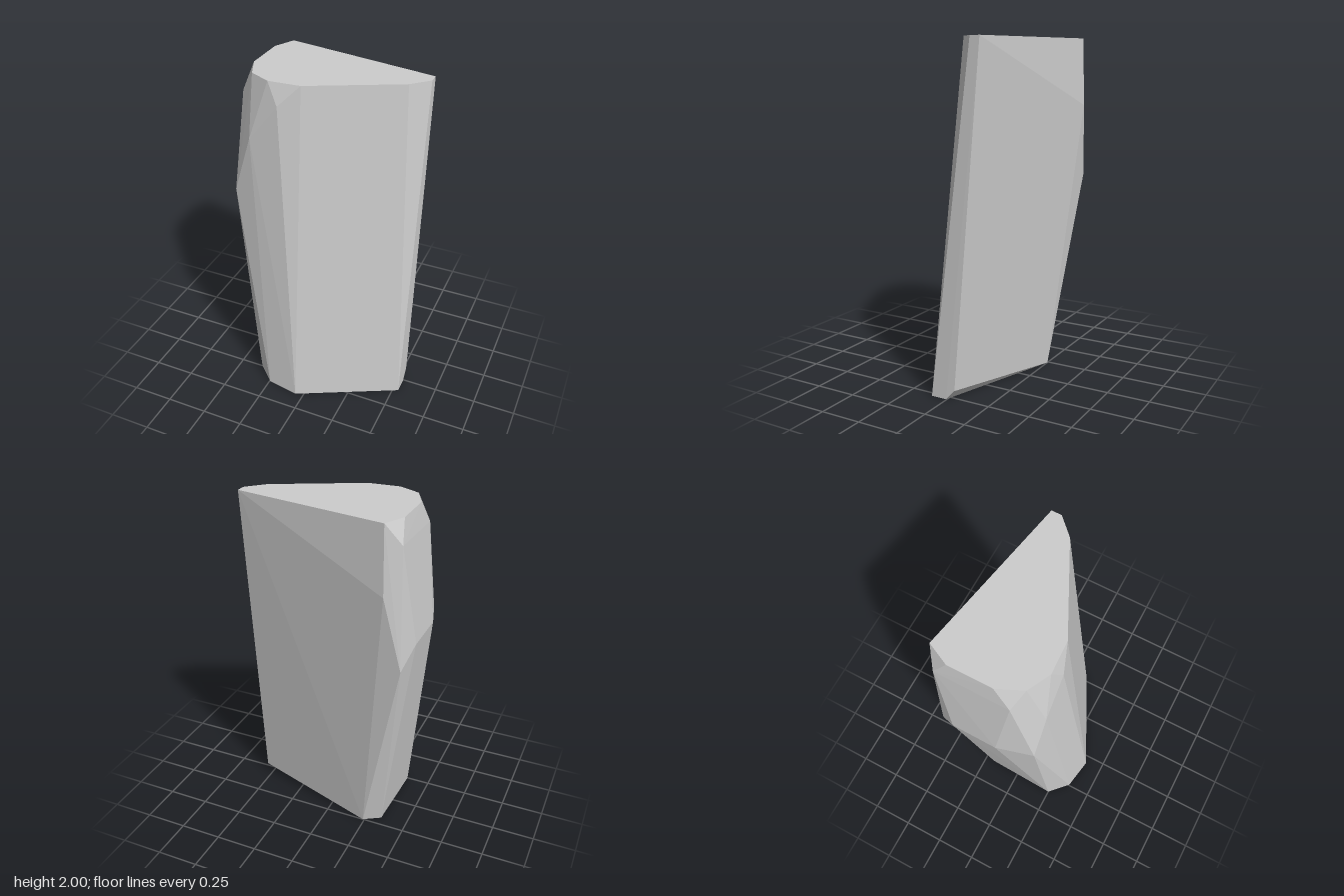
import * as THREE from 'three';
import { ConvexGeometry } from 'three/addons/geometries/ConvexGeometry.js';

export function createModel() {
  // Corner rings of a faceted, slightly leaning stone, given as [x, y, z]
  const top = [
    [-0.443, -0.265], [-0.383, -0.389], [0.524, -0.216], [0.524, -0.158], [0.429, -0.063],
    [-0.07, 0.181], [-0.256, 0.19], [-0.38, 0.127], [-0.443, -0.014],
  ].map(([x, z]) => [x, 2, z]);

  const bottom = [
    [-0.34, -0.19], [-0.24, -0.25], [0.535, 0.005], [0.535, 0.1],
    [-0.05, 0.391], [-0.245, 0.357], [-0.357, 0.25],
  ].map(([x, z]) => [x, 0, z]);

  // Chipped corners between the two ends
  const chips = [
    [-0.466, 1.88, -0.34], [-0.391, 1.61, -0.398], [-0.486, 1.18, -0.363],
    [-0.532, 1.31, -0.26], [-0.538, 1.32, 0.008], [-0.478, 1.31, 0.213],
    [-0.466, 1.87, 0.08], [-0.365, 1.66, 0.225], [-0.19, 1.88, 0.225],
    [0.533, 0.06, -0.05],
  ];

  const points = [...top, ...bottom, ...chips].map((p) => new THREE.Vector3(...p));
  const stone = new THREE.Mesh(
    new ConvexGeometry(points),
    new THREE.MeshStandardMaterial({ color: 0xcccccc, flatShading: true })
  );
  stone.name = 'stone';

  const group = new THREE.Group();
  group.name = 'standingStone';
  group.add(stone);
  return group;
}
